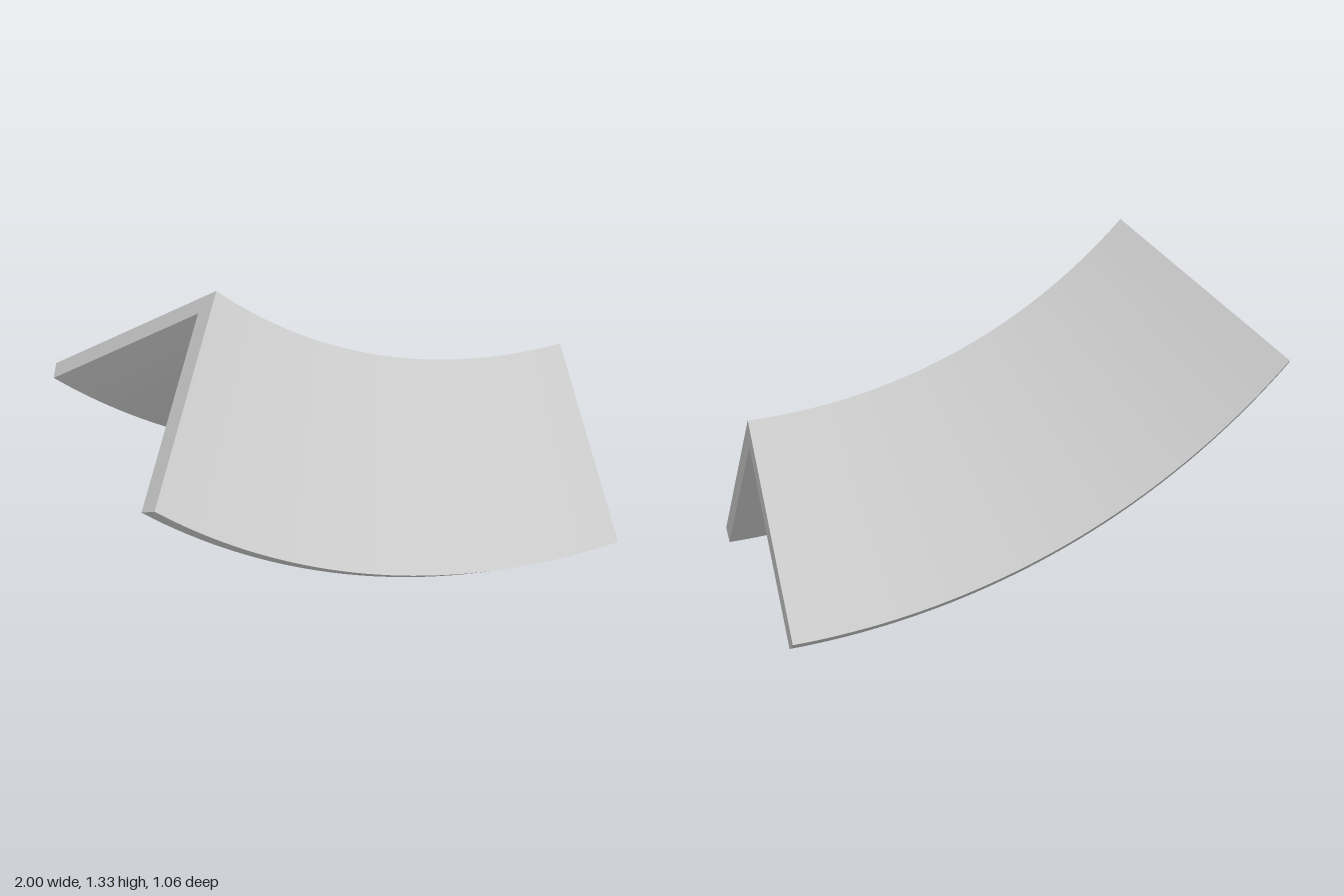
import * as THREE from 'three';
import { toCreasedNormals } from 'three/addons/utils/BufferGeometryUtils.js';

const RADIUS = 2.828;      // bend radius at the lowest edge
const SWEEP = Math.PI / 4; // bend angle

export function createModel() {
  const group = new THREE.Group();
  group.name = 'curvedAngleBar';

  // V-shaped cross-section: two thin legs meeting at a ridge
  const section = new THREE.Shape([
    [0, 0.705], [-0.53, 0.042], [-0.478, 0], [0, 0.6], [0.478, 0], [0.53, 0.042],
  ].map(([z, y]) => new THREE.Vector2(z, y)));

  // Straight bar whose depth is the bend angle
  const bar = new THREE.ExtrudeGeometry(section, { depth: SWEEP, steps: 40, bevelEnabled: false });

  // Bend it upward around an axis above the +x end
  const p = bar.attributes.position;
  for (let i = 0; i < p.count; i++) {
    const r = RADIUS - p.getY(i);
    const a = p.getZ(i);
    p.setXYZ(i, 1 - r * Math.sin(a), RADIUS - r * Math.cos(a), p.getX(i));
  }

  const mesh = new THREE.Mesh(
    toCreasedNormals(bar, 0.4),
    new THREE.MeshStandardMaterial({ color: 0xcccccc }),
  );
  mesh.name = 'angleBar';
  group.add(mesh);
  return group;
}
